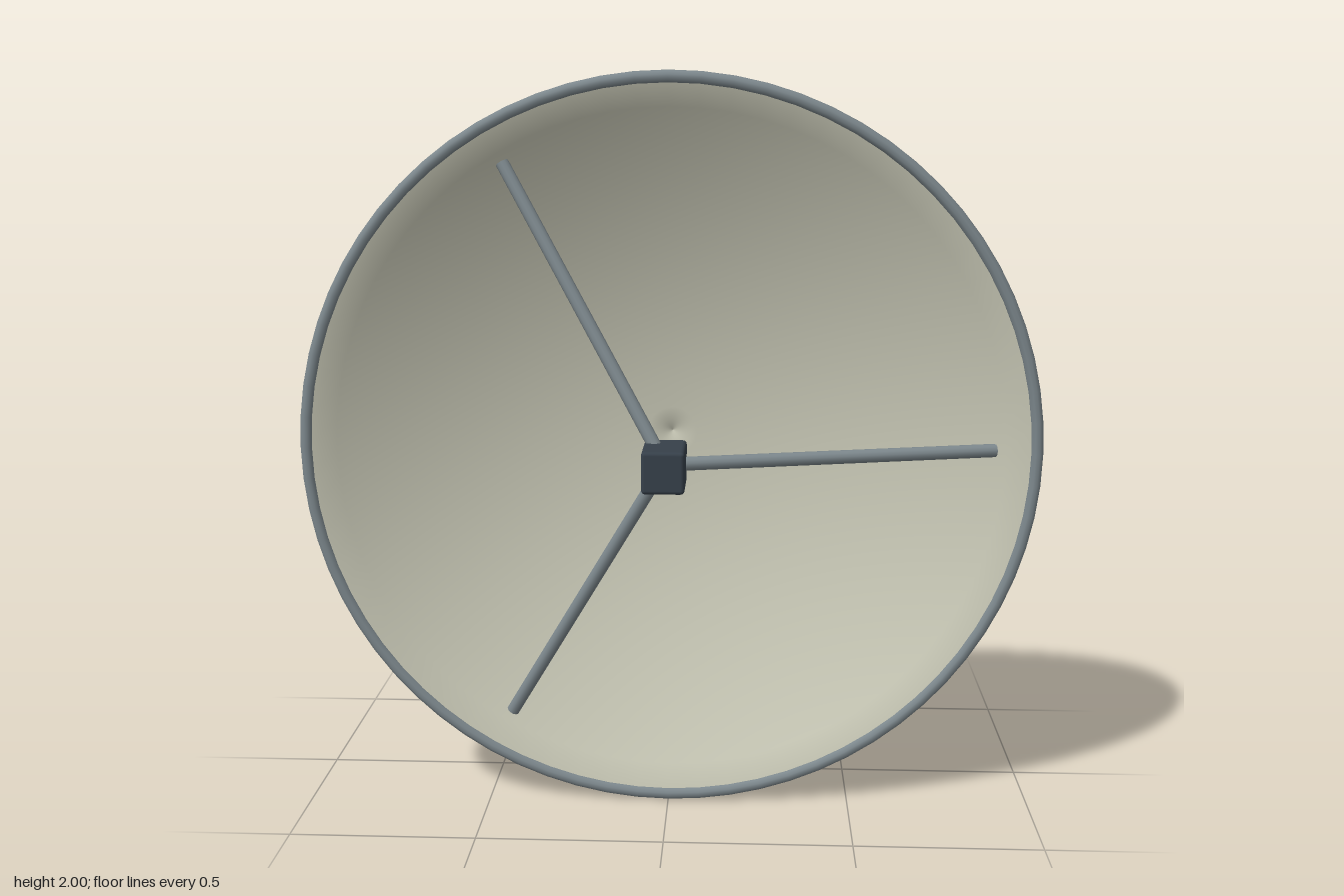
import * as THREE from 'three';
import { RoundedBoxGeometry } from 'three/addons/geometries/RoundedBoxGeometry.js';

const paint = (name, color) => {
  const m = new THREE.MeshStandardMaterial({ color });
  m.name = name;
  return m;
};

export function createModel() {
  const model = new THREE.Group();
  model.name = 'dishAntenna';
  const ivory = paint('ivory', 0xc8c8b6);
  const steel = paint('steel', 0x7d888d);
  const housing = paint('housingGrey', 0x8d9798);
  const dark = paint('darkSlate', 0x36404a);

  const add = (name, geometry, material, x, y, z) => {
    const mesh = new THREE.Mesh(geometry, material);
    mesh.name = name;
    mesh.position.set(x, y, z);
    model.add(mesh);
    return mesh;
  };

  // Reflector: a thin closed parabolic shell, with a small pit at the centre
  const R = 0.985, steps = 14, thickness = 0.02;
  const depth = r => -0.07 + 0.29 * (r / R) ** 2;
  const profile = [];
  for (let i = 0; i <= steps; i++) {
    const r = (R * i) / steps;
    profile.push(new THREE.Vector2(r, depth(r)));
  }
  for (let i = steps; i >= 1; i--) {
    const r = ((R - 0.008) * i) / steps;
    profile.push(new THREE.Vector2(r, depth(r) + thickness));
  }
  profile.push(new THREE.Vector2(0.035, depth(0.035) + thickness));
  profile.push(new THREE.Vector2(0, depth(0) + 0.004));
  add('reflector', new THREE.LatheGeometry(profile, 72), ivory, 0, 1, 0).rotation.x = Math.PI / 2;

  // Rim ring
  add('rim', new THREE.TorusGeometry(0.983, 0.017, 10, 72), steel, 0, 1, 0.225);

  // Three feed struts from the receiver out to the dish
  for (let i = 0; i < 3; i++) {
    const a = (i * Math.PI * 2) / 3;
    const start = new THREE.Vector3(0, 1, 0.397);
    const end = new THREE.Vector3(0.88 * Math.cos(a), 1 + 0.88 * Math.sin(a), 0.18);
    const dir = end.clone().sub(start);
    const mid = start.clone().add(end).multiplyScalar(0.5);
    const strut = add('feedStrut', new THREE.CylinderGeometry(0.018, 0.018, dir.length(), 12),
      steel, mid.x, mid.y, mid.z);
    strut.quaternion.setFromUnitVectors(new THREE.Vector3(0, 1, 0), dir.normalize());
  }

  // Receiver at the focus and equipment housing behind the dish
  add('receiver', new RoundedBoxGeometry(0.11, 0.11, 0.17, 2, 0.01), dark, 0, 1, 0.424);
  add('rearHousing', new RoundedBoxGeometry(0.24, 0.31, 0.415, 2, 0.006), housing, 0, 1, -0.302);

  return model;
}
